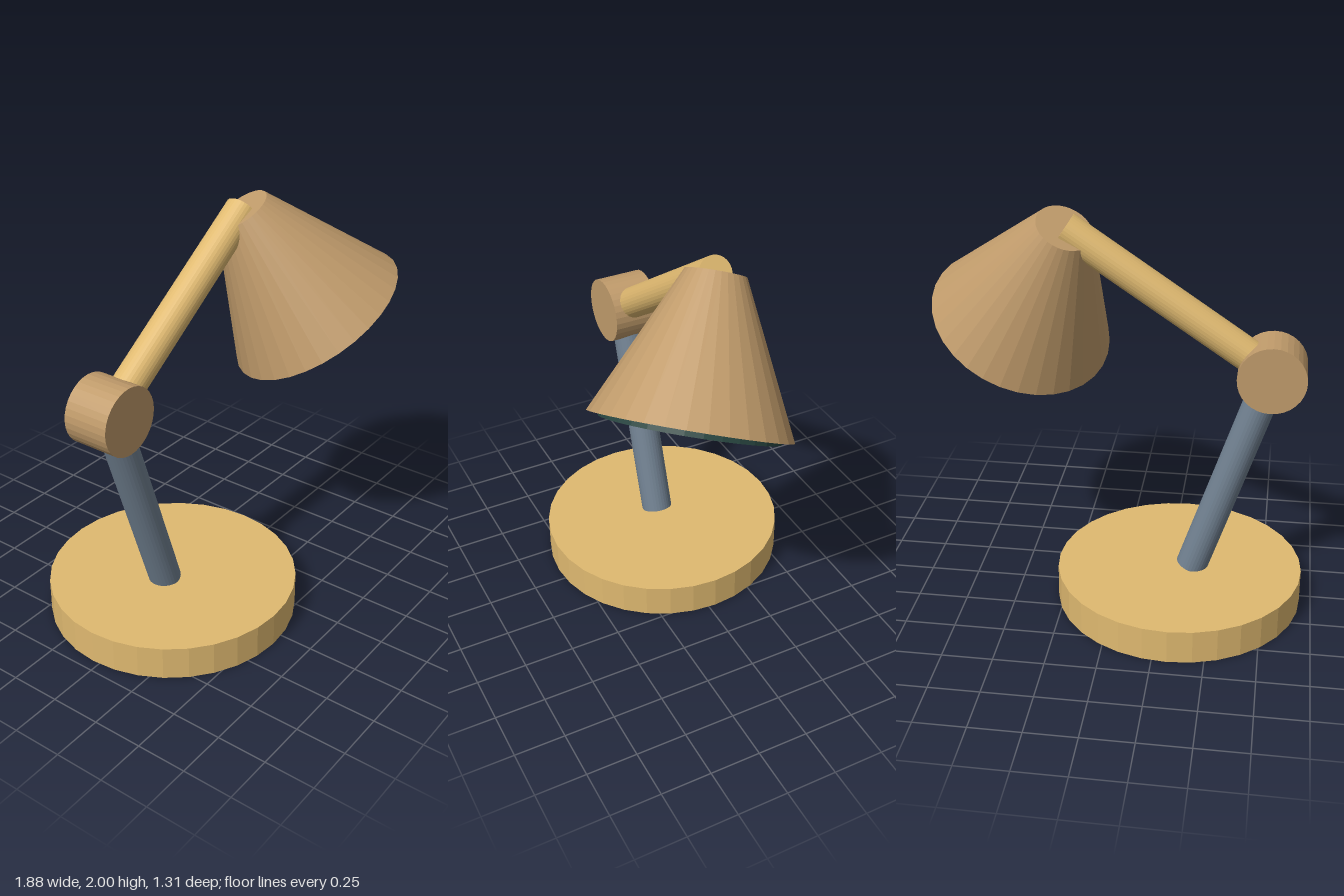
import * as THREE from 'three';

const V = (x, y, z) => new THREE.Vector3(x, y, z);
const UP = V(0, 1, 0);

// Cylinder or truncated cone running from point a (radius ra) to point b (radius rb), faceted
function rod(name, a, b, ra, rb, material, sides = 32) {
  const geometry = new THREE.CylinderGeometry(rb, ra, a.distanceTo(b), sides).toNonIndexed();
  geometry.computeVertexNormals();
  const mesh = new THREE.Mesh(geometry, material);
  mesh.name = name;
  mesh.position.copy(a).add(b).multiplyScalar(0.5);
  mesh.quaternion.setFromUnitVectors(UP, b.clone().sub(a).normalize());
  return mesh;
}

export function createModel() {
  const paint = (name, color) => {
    const m = new THREE.MeshStandardMaterial({ color });
    m.name = name;
    return m;
  };
  const gold = paint('gold', 0xdfb970);
  const brown = paint('brown', 0xc09b6b);
  const slate = paint('slate', 0x708090);
  const darkGreen = paint('darkGreen', 0x284540);

  const z = -0.036;
  const elbow = V(-0.745, 1.26, z);
  const armTip = V(0.244, 1.924, z);
  const mouth = V(0.515, 1.36, 0.228);

  const lamp = new THREE.Group();
  lamp.name = 'deskLamp';

  // Round foot and leaning lower arm
  lamp.add(rod('base', V(-0.323, 0, z), V(-0.323, 0.17, z), 0.62, 0.62, gold));
  lamp.add(rod('lowerArm', V(-0.387, 0.17, z), elbow, 0.08, 0.08, slate));

  // Elbow drum and upper arm
  lamp.add(rod('elbowJoint', V(elbow.x, elbow.y, z - 0.117), V(elbow.x, elbow.y, z + 0.117), 0.165, 0.165, brown));
  lamp.add(rod('upperArm', elbow, armTip, 0.08, 0.08, gold));

  // Conical shade, hung from the arm tip
  lamp.add(rod('shade', armTip, mouth, 0.14, 0.464, brown));

  // Light panel, tilted slightly against the mouth so it stands proud at the upper edge
  const facing = V(0.377, -0.847, 0.375).normalize();
  const face = mouth.clone().addScaledVector(facing, 0.0135);
  const back = face.clone().addScaledVector(facing, -0.04);
  lamp.add(rod('lightPanel', back, face, 0.408, 0.408, darkGreen));

  return lamp;
}
